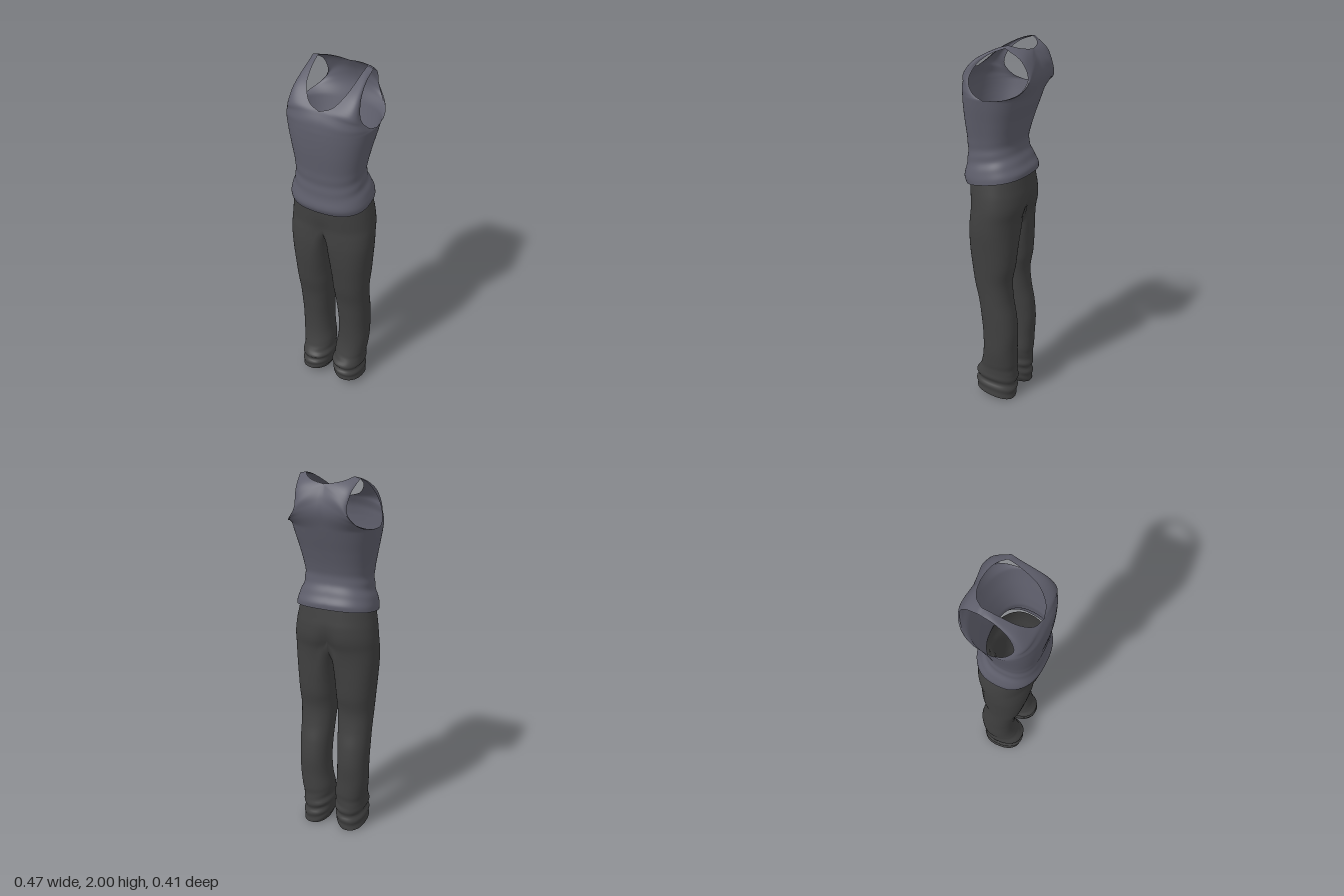
import * as THREE from 'three';
import { mergeGeometries, mergeVertices } from 'three/addons/utils/BufferGeometryUtils.js';

const V = (x, y, z) => new THREE.Vector3(x, y, z);
const spline = (...p) => new THREE.CatmullRomCurve3(p.map((q) => V(...q)));

// Smooth lookup in a table of rows [y, a, b, ...] ordered by rising y
function profile(rows) {
  const slope = (i, k) => {
    const a = rows[Math.max(i - 1, 0)], b = rows[Math.min(i + 1, rows.length - 1)];
    return (b[k] - a[k]) / (b[0] - a[0]);
  };
  return (y) => {
    let i = 0;
    while (i < rows.length - 2 && y > rows[i + 1][0]) i++;
    const a = rows[i], b = rows[i + 1], h = b[0] - a[0];
    const t = THREE.MathUtils.clamp((y - a[0]) / h, 0, 1), t2 = t * t, t3 = t2 * t;
    return a.slice(1).map((_, j) => {
      const k = j + 1;
      return a[k] * (2 * t3 - 3 * t2 + 1) + b[k] * (3 * t2 - 2 * t3)
        + h * (slope(i, k) * (t3 - 2 * t2 + t) + slope(i + 1, k) * (t3 - t2));
    });
  };
}

// Grid surface from fn(u, v); u runs front to back round the side, v runs up
function grid(nu, nv, fn, side) {
  const pos = [], idx = [], w = nu + 1;
  for (let j = 0; j <= nv; j++) {
    for (let i = 0; i <= nu; i++) {
      const p = fn(i / nu, j / nv);
      pos.push(p.x * side, p.y, p.z);
      if (i === nu || j === nv) continue;
      const a = j * w + i, b = a + 1, c = b + w, d = a + w;
      if (side > 0) idx.push(a, b, c, a, c, d);
      else idx.push(a, c, b, a, d, c);
    }
  }
  const g = new THREE.BufferGeometry();
  g.setAttribute('position', new THREE.Float32BufferAttribute(pos, 3));
  g.setIndex(idx);
  return g;
}

// Mirror a list of [nu, nv, fn] half surfaces and weld them into one smooth mesh
function garment(name, surfaces, material) {
  const parts = surfaces.flatMap((s) => [grid(...s, 1), grid(...s, -1)]);
  const geo = mergeVertices(mergeGeometries(parts), 1e-4);
  geo.computeVertexNormals();
  const mesh = new THREE.Mesh(geo, material);
  mesh.name = name;
  return mesh;
}

const power = (v, e) => Math.sign(v) * Math.pow(Math.abs(v), e);

// ---- Tank top ----
const ARM = 1.735, HEM = 1.28;
const torso = profile([ // y, half width, front z, back z
  [1.28, 0.216, 0.186, -0.15], [1.31, 0.214, 0.199, -0.15], [1.35, 0.203, 0.191, -0.132],
  [1.4, 0.186, 0.183, -0.112], [1.45, 0.181, 0.183, -0.098], [1.5, 0.186, 0.186, -0.102],
  [1.6, 0.206, 0.196, -0.13], [1.68, 0.224, 0.2, -0.157], [1.735, 0.235, 0.2, -0.175],
]);

function torsoPoint(phi, y) {
  const [w, zf, zb] = torso(y);
  const mid = (zf + zb) / 2, r = (zf - zb) / 2;
  // soft folds round the waist
  const fold = 1 + 0.012 * Math.sin(y * 85 + 2.5 * Math.cos(phi)) * Math.exp(-(((y - 1.41) / 0.06) ** 2));
  const p = V(w * fold * power(Math.sin(phi), 0.8), y, mid + r * fold * power(Math.cos(phi), 0.8));
  p.y -= 0.165 * (p.z - 0.015) * Math.max(0, 1 - (y - HEM) / 0.22); // hem dips at the front
  return p;
}

// Upper panel: patch between the body ring, the neckline, the armhole and the shoulder
function panel(split, centre, neck, armhole, front) {
  const inner = (t) => (t <= split ? centre.getPoint(t / split) : neck.getPoint((t - split) / (1 - split)));
  const base = (s) => torsoPoint(front ? s * Math.PI / 2 : Math.PI * (1 - s / 2), ARM);
  const [c00, c10, c01, c11] = [base(0), base(1), neck.getPoint(1), armhole.getPoint(1)];
  return (u, t) => {
    const s = front ? u : 1 - u;
    return inner(t).multiplyScalar(1 - s)
      .addScaledVector(armhole.getPoint(t), s)
      .addScaledVector(base(s), 1 - t)
      .addScaledVector(c00, -(1 - s) * (1 - t))
      .addScaledVector(c10, -s * (1 - t));
  };
}

const SHOULDER_IN = [0.133, 2, -0.08], SHOULDER_OUT = [0.166, 1.992, -0.08], UNDERARM = [0.235, ARM, 0.0125];
const frontPanel = panel(0.3,
  spline([0, ARM, 0.2], [0, 1.79, 0.192], [0, 1.84, 0.168]),
  spline([0, 1.84, 0.168], [0.06, 1.862, 0.15], [0.108, 1.92, 0.092], [0.123, 1.957, 0.03], [0.13, 1.985, -0.03], SHOULDER_IN),
  spline(UNDERARM, [0.222, 1.757, 0.07], [0.197, 1.815, 0.11], [0.178, 1.89, 0.08], [0.167, 1.955, 0.005], SHOULDER_OUT), true);
const backPanel = panel(0.7,
  spline([0, ARM, -0.175], [0, 1.83, -0.199], [0, 1.9, -0.186], [0, 1.965, -0.153]),
  spline([0, 1.965, -0.153], [0.055, 1.974, -0.145], [0.1, 1.985, -0.122], SHOULDER_IN),
  spline(UNDERARM, [0.229, 1.742, -0.075], [0.195, 1.763, -0.152], [0.145, 1.84, -0.194], [0.15, 1.93, -0.163], SHOULDER_OUT), false);

// ---- Trousers ----
const WAIST = 1.31, FORK = 1.13;
const leg = profile([ // y, outer x, inner x, centre x, front z, back z
  [0, 0.18, 0.03, 0.105, 0.112, -0.105], [0.06, 0.18, 0.012, 0.1, 0.12, -0.112], [0.09, 0.172, 0.016, 0.098, 0.11, -0.107],
  [0.125, 0.184, 0.007, 0.098, 0.121, -0.116], [0.16, 0.18, 0.014, 0.1, 0.1, -0.11], [0.22, 0.187, 0.014, 0.102, 0.082, -0.115],
  [0.3, 0.195, 0.025, 0.108, 0.07, -0.116], [0.4, 0.197, 0.029, 0.11, 0.071, -0.12], [0.5, 0.2, 0.025, 0.11, 0.08, -0.11],
  [0.6, 0.202, 0.018, 0.11, 0.093, -0.09], [0.7, 0.206, 0.012, 0.108, 0.116, -0.083], [0.8, 0.214, 0.008, 0.103, 0.132, -0.1],
  [0.9, 0.222, 0.004, 0.092, 0.146, -0.108], [1.0, 0.23, 0.002, 0.065, 0.155, -0.115], [1.07, 0.231, 0.001, 0.035, 0.157, -0.126],
  [1.13, 0.229, 0, 0, 0.159, -0.145], [1.2, 0.221, 0, 0, 0.164, -0.147], [1.25, 0.212, 0, 0, 0.166, -0.141],
  [1.31, 0.2, 0, 0, 0.163, -0.133],
]);

function legPoint(phi, y) {
  let [xo, xi, c, zf, zb] = leg(y);
  if (y > FORK - 1e-6) c = xi = 0;
  const inner = phi > Math.PI;
  const rx = inner ? Math.max(0, c - xi) : xo - c;
  // bunched fabric above the hem
  const ruffle = 1 + 0.025 * Math.sin(y * 120 + 2 * Math.sin(phi) + Math.cos(2 * phi)) * THREE.MathUtils.smoothstep(0.24 - y, 0, 0.15);
  const p = V(c + rx * ruffle * power(Math.sin(phi), 0.88), y, (zf + zb) / 2 + (zf - zb) / 2 * ruffle * power(Math.cos(phi), 0.88));
  // seat cleft and front fly dip
  const dip = Math.exp(-((p.x / 0.04) ** 2)) * Math.exp(-(((y - 1.1) / 0.07) ** 2));
  p.z += dip * Math.cos(phi) * (p.z < 0 ? -0.022 : 0) - (p.z > 0 ? 0.012 * dip * Math.cos(phi) : 0);
  if (p.z < 0) p.z += 2 * dip * 0.0;
  // crotch hangs between the legs, hem lifts over the instep
  if (inner) p.y += 0.13 * Math.sin(phi) * THREE.MathUtils.clamp((y - 0.75) / (FORK - 0.75), 0, 1);
  if (y < 0.25) p.y += Math.max(0, 0.021 + 0.2 * p.z) * (1 - y / 0.25);
  return p;
}

export function createModel() {
  const shirtGrey = new THREE.MeshStandardMaterial({ color: 0x5e5e6b, side: THREE.DoubleSide });
  shirtGrey.name = 'slate grey cloth';
  const trouserGrey = new THREE.MeshStandardMaterial({ color: 0x404040, side: THREE.DoubleSide });
  trouserGrey.name = 'charcoal cloth';

  const model = new THREE.Group();
  model.name = 'outfit';
  model.add(
    garment('tankTop', [
      [48, 50, (u, v) => torsoPoint(u * Math.PI, HEM + v * (ARM - HEM))],
      [24, 30, frontPanel],
      [24, 30, backPanel],
    ], shirtGrey),
    garment('trousers', [
      [64, 110, (u, v) => legPoint(u * 2 * Math.PI, v * FORK)],
      [32, 16, (u, v) => legPoint(u * Math.PI, FORK + v * (WAIST - FORK))],
    ], trouserGrey),
  );
  return model;
}
